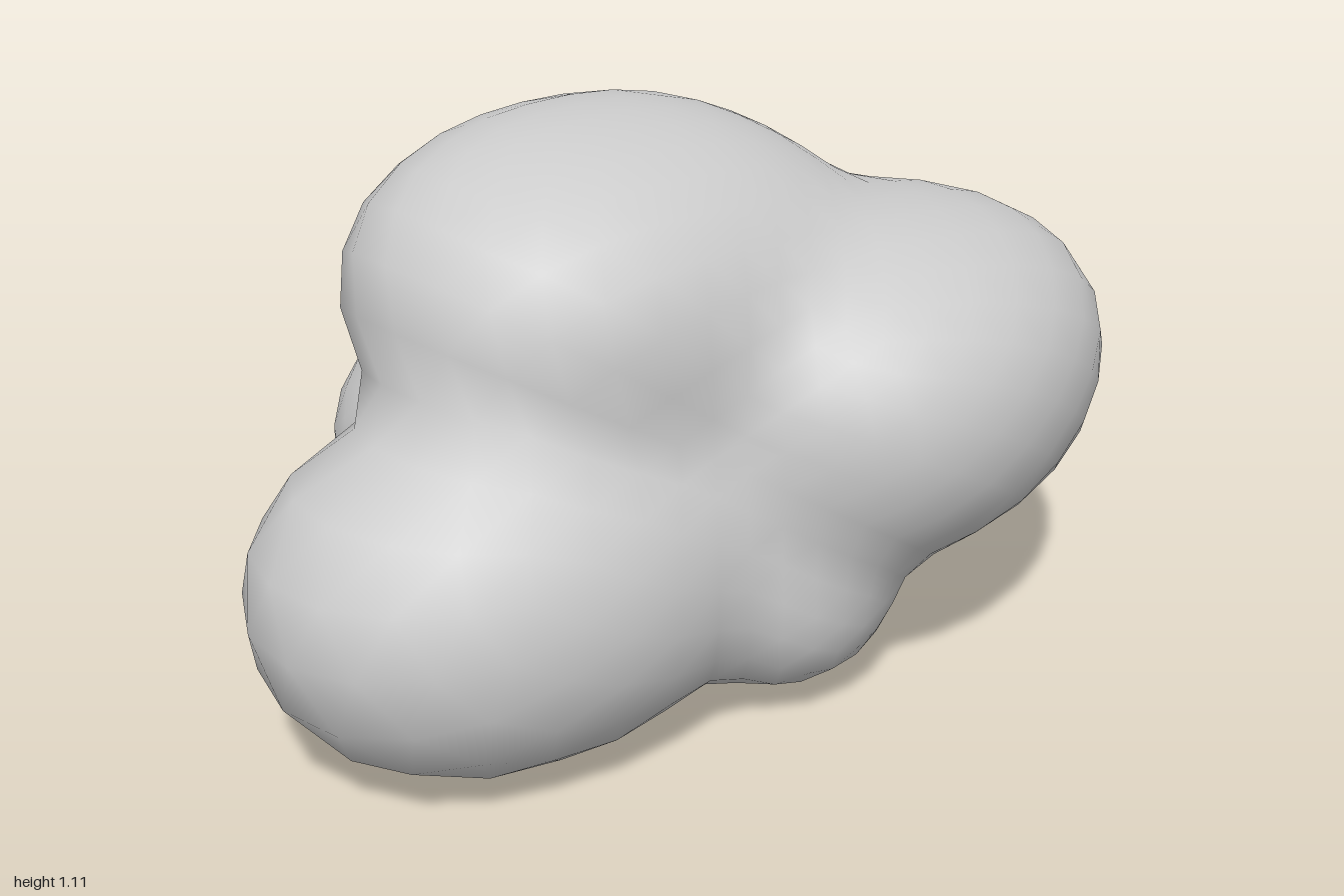
import * as THREE from 'three';
import { mergeVertices } from 'three/addons/utils/BufferGeometryUtils.js';

// Puffs of the cloud: centre, radii, forward tilt and yaw
const PUFFS = [
  { c: [-0.185, 0.81, -0.02], r: [0.525, 0.295, 0.41], tilt: 0.2, yaw: 0.14 },   // top
  { c: [0.31, 0.58, 0.24], r: [0.52, 0.325, 0.4], tilt: 0.1, yaw: 0.33 },        // front
  { c: [-0.54, 0.325, 0.1], r: [0.465, 0.325, 0.37], tilt: 0, yaw: -0.12 },      // right side
  { c: [-0.03, 0.235, 0.31], r: [0.21, 0.19, 0.19], tilt: 0, yaw: 0 },           // small one underneath
  { c: [0.54, 0.33, -0.18], r: [0.475, 0.33, 0.3], tilt: 0, yaw: 0.28 },         // left side
  { c: [-0.13, 0.385, -0.33], r: [0.43, 0.29, 0.34], tilt: 0.4, yaw: 0 },        // back
  { c: [0.02, 0.46, 0.07], r: [0.46, 0.32, 0.34], tilt: 0, yaw: 0 },             // filling in the middle
  { c: [0.21, 0.36, -0.22], r: [0.28, 0.25, 0.2], tilt: 0, yaw: 0 },             // filling between back and left
].map(({ c, r, tilt, yaw }) => ({
  c: new THREE.Vector3(...c),
  r: new THREE.Vector3(...r),
  turn: new THREE.Quaternion().setFromEuler(new THREE.Euler(tilt, yaw, 0)).invert(),
}));

const BLEND = 0.052;
const FULLNESS = 2.2; // 2 is an ellipsoid, more is boxier
const q = new THREE.Vector3();

// Approximate distance to one rounded puff
function puffDistance(p, { c, r, turn }) {
  q.subVectors(p, c).applyQuaternion(turn);
  const length = q.length();
  q.divide(r);
  const k = (Math.abs(q.x) ** FULLNESS + Math.abs(q.y) ** FULLNESS + Math.abs(q.z) ** FULLNESS) ** (1 / FULLNESS);
  return k < 1e-6 ? -Math.min(r.x, r.y, r.z) : length * (k - 1) / k;
}

// Softly blended union of all puffs
function cloudDistance(p) {
  let sum = 0;
  for (const puff of PUFFS) sum += Math.exp(-puffDistance(p, puff) / BLEND);
  return -BLEND * Math.log(sum + 1e-300);
}

// Outermost distance from the core at which a ray leaves the cloud
function surfaceRadius(core, dir) {
  const p = new THREE.Vector3();
  const at = (t) => cloudDistance(p.copy(core).addScaledVector(dir, t));
  let lo = 1.4;
  while (lo > 0.05 && at(lo) > 0) lo -= 0.01;
  let hi = lo + 0.01;
  for (let i = 0; i < 10; i++) {
    const mid = (lo + hi) / 2;
    if (at(mid) > 0) hi = mid; else lo = mid;
  }
  return lo;
}

export function createModel() {
  const group = new THREE.Group();
  group.name = 'cloud';

  // A coarse sphere pushed out onto the blended puffs, smooth shaded
  let geometry = new THREE.IcosahedronGeometry(1, 8);
  geometry.deleteAttribute('normal');
  geometry.deleteAttribute('uv');
  geometry = mergeVertices(geometry, 1e-4);
  const core = new THREE.Vector3(0, 0.44, 0);
  const pos = geometry.attributes.position;
  const v = new THREE.Vector3();
  for (let i = 0; i < pos.count; i++) {
    v.fromBufferAttribute(pos, i).normalize();
    v.multiplyScalar(surfaceRadius(core, v)).add(core);
    pos.setXYZ(i, v.x, v.y, v.z);
  }

  // Stand it on the ground
  geometry.computeBoundingBox();
  geometry.translate(0, -geometry.boundingBox.min.y, 0);
  geometry.computeVertexNormals();

  const body = new THREE.Mesh(geometry, new THREE.MeshStandardMaterial({ color: 0xcccccc }));
  body.name = 'cloudBody';
  group.add(body);
  return group;
}
